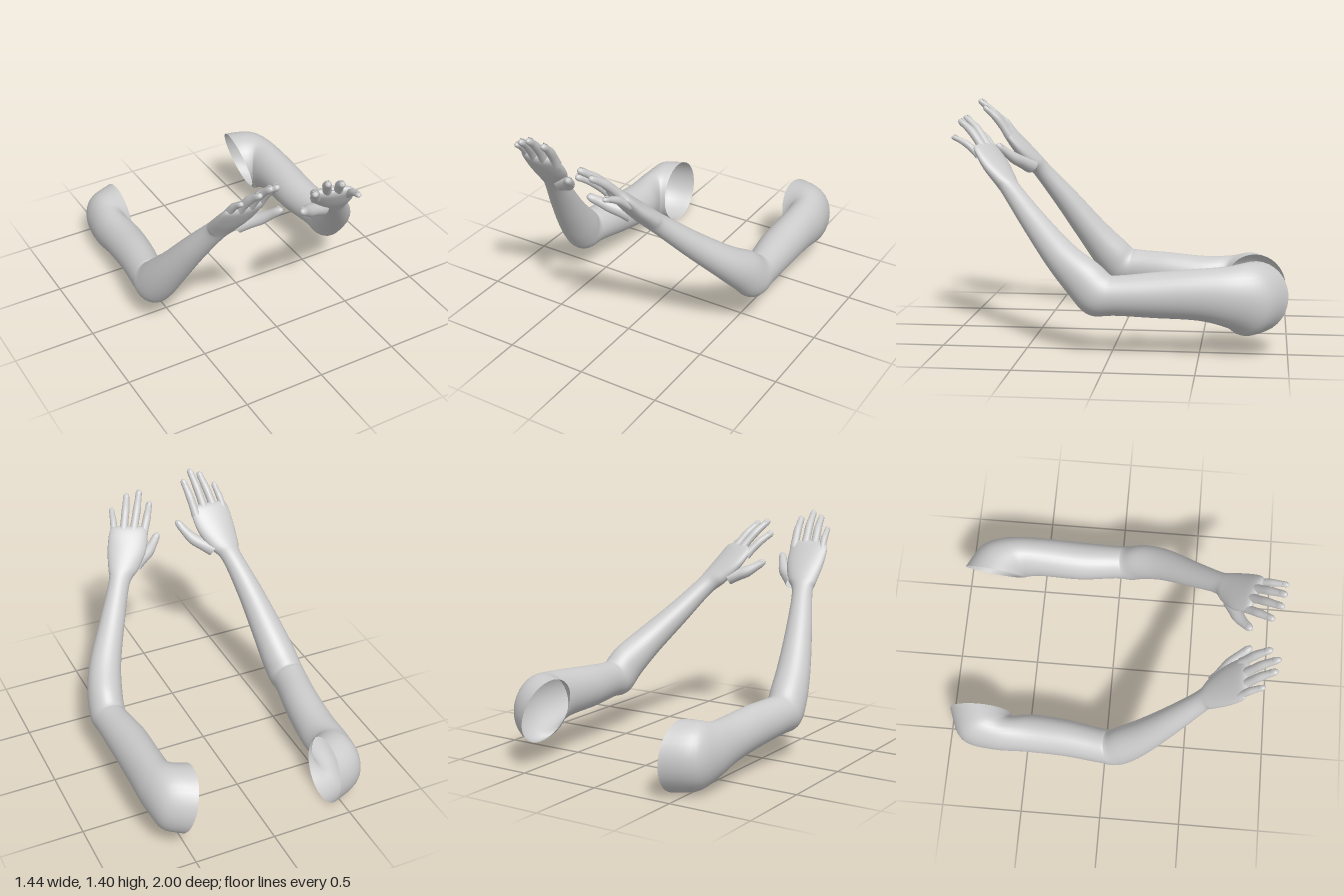
import * as THREE from 'three';

const skin = new THREE.MeshStandardMaterial({ color: 0xcccccc, side: THREE.DoubleSide });
const vec = (a) => new THREE.Vector3(...a);

// Catmull-Rom blend of two neighbouring rows, component by component
function blendRows(rows, i, t) {
  const at = (k) => rows[Math.min(Math.max(k, 0), rows.length - 1)];
  const [p, q, r, s] = [at(i - 1), at(i), at(i + 1), at(i + 2)];
  return q.map((b, k) => b + 0.5 * t * (r[k] - p[k]
    + t * (2 * p[k] - 5 * b + 4 * r[k] - s[k] + t * (3 * (b - r[k]) + s[k] - p[k]))));
}

// Skin over elliptical sections: [centre xyz, half-width vector xyz, half-thickness, pitch, lean]
function loft(name, rows, sides, steps) {
  const pos = [], index = [];
  const count = (rows.length - 1) * steps + 1;
  for (let n = 0; n < count; n++) {
    const i = Math.min(Math.floor(n / steps), rows.length - 2);
    const w = blendRows(rows, i, n / steps - i);
    const c = vec(w.slice(0, 3)), u = vec(w.slice(3, 6));
    const un = u.clone().normalize();
    const v = new THREE.Vector3(w[8], Math.cos(w[7]), -Math.sin(w[7]));
    v.addScaledVector(un, -v.dot(un)).normalize().multiplyScalar(w[6]);
    for (let j = 0; j < sides; j++) {
      const th = (j / sides) * Math.PI * 2;
      const p = c.clone().addScaledVector(u, Math.cos(th)).addScaledVector(v, Math.sin(th));
      pos.push(p.x, p.y, p.z);
      if (n < count - 1) {
        const a = n * sides + j, b = n * sides + (j + 1) % sides;
        index.push(a, b, a + sides, b, b + sides, a + sides);
      }
    }
  }
  const g = new THREE.BufferGeometry();
  g.setAttribute('position', new THREE.Float32BufferAttribute(pos, 3));
  g.setIndex(index);
  g.computeVertexNormals();
  const mesh = new THREE.Mesh(g, skin);
  mesh.name = name;
  return mesh;
}

// Tapered finger or thumb with swollen joints, rounded tip and a nail
function digit(name, base, tip, r0, r1, pitch, bend, mid) {
  const back = new THREE.Vector3(0, Math.cos(pitch), -Math.sin(pitch));
  const a = vec(base), b = vec(tip);
  const m = mid ? vec(mid) : a.clone().lerp(b, 0.52).addScaledVector(back, bend);
  const curve = new THREE.CatmullRomCurve3([a, m, b]);
  const profile = [[0, 1], [0.25, 0.93], [0.5, 1], [0.72, 0.9], [0.88, 0.9], [0.96, 0.68], [0.99, 0.35], [1, 0.03]];
  const frame = (t) => {
    const dir = curve.getTangent(t);
    const u = back.clone().cross(dir).normalize();
    return { u, v: dir.clone().cross(u), dir };
  };
  const rows = profile.map(([t, k]) => {
    const r = THREE.MathUtils.lerp(r0, r1, t) * k;
    const p = curve.getPoint(t), { u } = frame(t);
    return [...p.toArray(), ...u.multiplyScalar(r).toArray(), r, pitch, 0];
  });
  const group = new THREE.Group();
  group.name = name;
  group.add(loft(name + 'Skin', rows, 14, 3));
  const { u, v, dir } = frame(0.88);
  const nail = new THREE.Mesh(new THREE.SphereGeometry(1, 12, 8), skin);
  nail.name = name + 'Nail';
  nail.scale.set(r1 * 0.62, r1 * 0.22, r1 * 1.0);
  nail.quaternion.setFromRotationMatrix(new THREE.Matrix4().makeBasis(u, v, dir));
  nail.position.copy(curve.getPoint(0.89)).addScaledVector(v, r1 * 0.82);
  group.add(nail);
  return group;
}

function buildArm(name, { rows, pitch, fingers, thumb }) {
  const arm = new THREE.Group();
  arm.name = name;
  arm.add(loft('armAndPalm', rows, 32, 6));
  const names = ['indexFinger', 'middleFinger', 'ringFinger', 'littleFinger'];
  fingers.forEach(([base, tip], i) => {
    const s = i === 3 ? 0.85 : 1;
    arm.add(digit(names[i], base, tip, 0.029 * s, 0.022 * s, pitch, 0.014));
  });
  arm.add(digit('thumb', thumb[0], thumb[2], 0.05, 0.024, pitch, 0, thumb[1]));
  return arm;
}

// Rows run from the open shoulder, through elbow and wrist, to the knuckles
const leftArm = {
  pitch: 0.75,
  rows: [
    [0.485, 0.328, -0.81, 0.02, 0, -0.19, 0.205, 0, -0.31],
    [0.567, 0.33, -0.755, 0.088, 0, -0.145, 0.205, 0, -0.15],
    [0.595, 0.345, -0.66, 0.115, 0, -0.06, 0.175, 0, 0],
    [0.6, 0.358, -0.5, 0.117, 0, 0, 0.147, 0, 0],
    [0.598, 0.35, -0.25, 0.117, 0, 0, 0.13, 0, 0],
    [0.612, 0.345, -0.03, 0.103, 0, 0, 0.115, 0.1, 0],
    [0.612, 0.348, 0.065, 0.106, 0.01, 0.01, 0.13, 0.52, 0],
    [0.59, 0.435, 0.16, 0.1, 0.025, 0.03, 0.122, 0.75, 0],
    [0.53, 0.55, 0.295, 0.09, 0.025, 0.028, 0.098, 0.78, 0],
    [0.415, 0.715, 0.46, 0.072, 0.022, 0.022, 0.076, 0.78, 0],
    [0.3, 0.885, 0.615, 0.06, 0.02, 0.02, 0.058, 0.78, 0],
    [0.25, 0.945, 0.665, 0.088, 0.01, 0.03, 0.055, 0.75, 0],
    [0.195, 1.03, 0.735, 0.112, 0.005, 0.045, 0.05, 0.75, 0],
    [0.155, 1.115, 0.8, 0.112, 0.005, 0.042, 0.036, 0.75, 0],
    [0.143, 1.142, 0.822, 0.09, 0.004, 0.034, 0.02, 0.75, 0],
    [0.14, 1.148, 0.827, 0.02, 0.001, 0.008, 0.002, 0.75, 0],
  ],
  fingers: [
    [[0.07, 1.09, 0.765], [-0.042, 1.235, 0.92]],
    [[0.125, 1.12, 0.79], [0.008, 1.31, 0.965]],
    [[0.185, 1.12, 0.81], [0.09, 1.292, 0.98]],
    [[0.24, 1.09, 0.825], [0.19, 1.2, 1.0]],
  ],
  thumb: [[0.16, 0.95, 0.69], [0.05, 0.99, 0.735], [-0.05, 1.06, 0.81]],
};

const rightArm = {
  pitch: 0.88,
  rows: [
    [-0.425, 0.205, -0.805, 0, 0, 0.195, 0.205, 0, -0.05],
    [-0.53, 0.21, -0.755, 0.08, 0, 0.155, 0.195, 0, 0],
    [-0.555, 0.215, -0.65, 0.105, 0, 0.07, 0.165, 0, 0],
    [-0.55, 0.235, -0.48, 0.117, 0, 0.01, 0.137, 0, 0],
    [-0.568, 0.26, -0.25, 0.113, 0, 0, 0.128, 0, 0],
    [-0.603, 0.28, -0.03, 0.107, 0, 0, 0.117, 0.1, 0],
    [-0.61, 0.288, 0.06, 0.111, 0, 0, 0.128, 0.55, 0],
    [-0.597, 0.37, 0.14, 0.11, -0.015, -0.01, 0.122, 0.8, 0],
    [-0.567, 0.52, 0.26, 0.098, -0.015, -0.01, 0.1, 0.9, 0],
    [-0.515, 0.73, 0.415, 0.078, -0.012, -0.008, 0.078, 0.92, 0],
    [-0.455, 0.92, 0.56, 0.064, -0.01, -0.006, 0.058, 0.9, 0],
    [-0.425, 0.985, 0.61, 0.096, 0, 0, 0.055, 0.88, 0],
    [-0.402, 1.08, 0.69, 0.124, 0, 0, 0.05, 0.88, 0],
    [-0.392, 1.175, 0.765, 0.126, 0, 0, 0.036, 0.88, 0],
    [-0.388, 1.205, 0.788, 0.1, 0, 0, 0.02, 0.88, 0],
    [-0.387, 1.21, 0.792, 0.02, 0, 0, 0.002, 0.88, 0],
  ],
  fingers: [
    [[-0.292, 1.16, 0.75], [-0.265, 1.352, 0.905]],
    [[-0.358, 1.185, 0.775], [-0.33, 1.39, 0.95]],
    [[-0.425, 1.175, 0.77], [-0.39, 1.362, 0.94]],
    [[-0.488, 1.15, 0.745], [-0.467, 1.298, 0.88]],
  ],
  thumb: [[-0.355, 0.97, 0.625], [-0.25, 1.025, 0.705], [-0.175, 1.122, 0.81]],
};

export function createModel() {
  const model = new THREE.Group();
  model.name = 'pairOfArms';
  model.add(buildArm('leftArm', leftArm), buildArm('rightArm', rightArm));
  return model;
}
